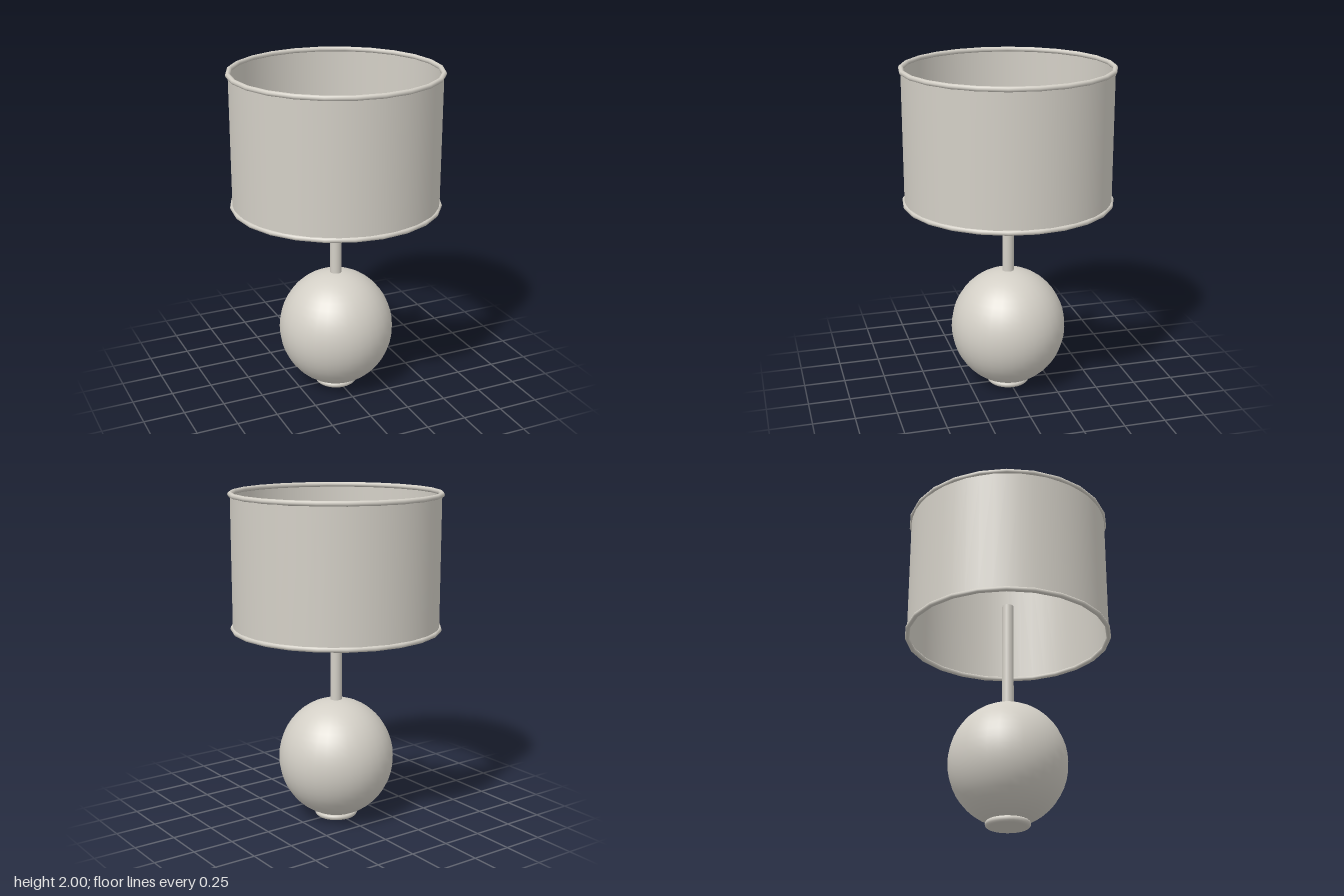
import * as THREE from 'three';

export function createModel() {
  const lamp = new THREE.Group();
  lamp.name = 'tableLamp';

  const warmGrey = new THREE.MeshStandardMaterial({ color: 0xd3cfc6 });
  warmGrey.name = 'warmGrey';
  const shadeGrey = warmGrey.clone(); // same colour, open surface
  shadeGrey.name = 'warmGreyShade';
  shadeGrey.side = THREE.DoubleSide;

  const add = (name, geometry, y, material = warmGrey) => {
    const mesh = new THREE.Mesh(geometry, material);
    mesh.name = name;
    mesh.position.y = y;
    lamp.add(mesh);
    return mesh;
  };

  // Small foot with a rounded lower edge
  const footProfile = [
    [0, 0], [0.108, 0], [0.12, 0.003], [0.128, 0.01], [0.131, 0.02], [0.129, 0.03], [0.122, 0.036], [0, 0.036],
  ].map(([r, y]) => new THREE.Vector2(r, y));
  add('foot', new THREE.LatheGeometry(footProfile, 32), 0);

  // Slightly tall ball body
  const ball = new THREE.SphereGeometry(0.35, 32, 24);
  ball.scale(1, 1.045, 1);
  add('ballBody', ball, 0.38);

  // Stem, ending inside the shade
  add('stem', new THREE.CylinderGeometry(0.035, 0.035, 0.71, 24), 1.055);

  // Open drum shade
  add('shade', new THREE.CylinderGeometry(0.615, 0.615, 0.79, 48, 1, true), 1.59, shadeGrey);

  // Rings around both shade edges
  for (const [name, y] of [['lowerRim', 1.195], ['upperRim', 1.985]]) {
    const ring = new THREE.TorusGeometry(0.615, 0.015, 8, 24);
    ring.rotateX(Math.PI / 2);
    add(name, ring, y);
  }

  return lamp;
}
